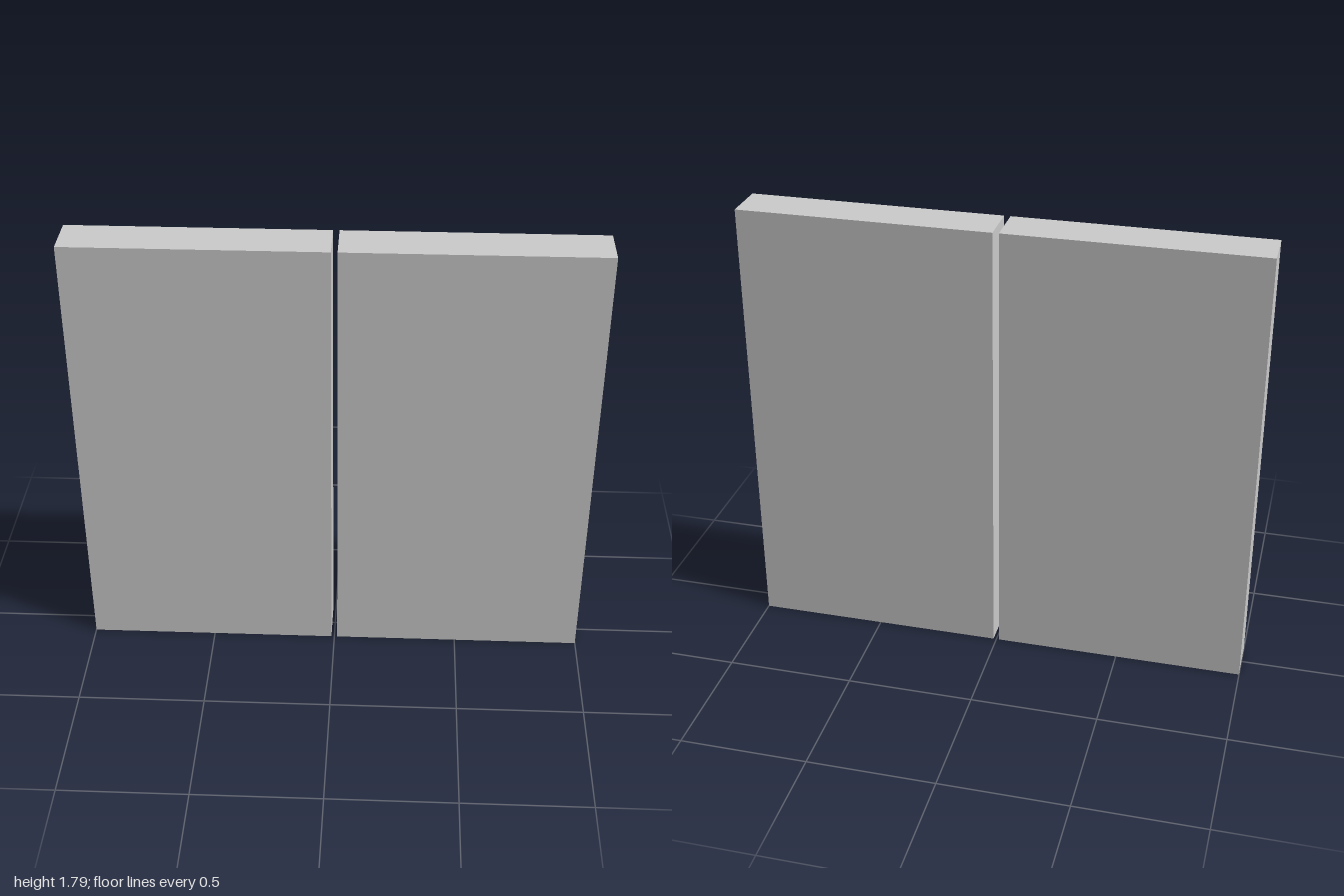
import * as THREE from 'three';

const HEIGHT = 1.786, DEPTH = 0.178, GAP = 0.024;

export function createModel() {
  const group = new THREE.Group();
  group.name = 'doublePanel';
  const material = new THREE.MeshStandardMaterial({ color: 0xcccccc });

  // Two matching upright slabs with a narrow gap between them
  const width = 1 - GAP / 2;
  const geometry = new THREE.BoxGeometry(width, HEIGHT, DEPTH);
  for (const [name, side] of [['leftPanel', 1], ['rightPanel', -1]]) {
    const panel = new THREE.Mesh(geometry, material);
    panel.name = name;
    panel.position.set(side * (GAP + width) / 2, HEIGHT / 2, 0);
    panel.position.x = side * (GAP / 2 + width / 2);
    group.add(panel);
  }
  return group;
}
